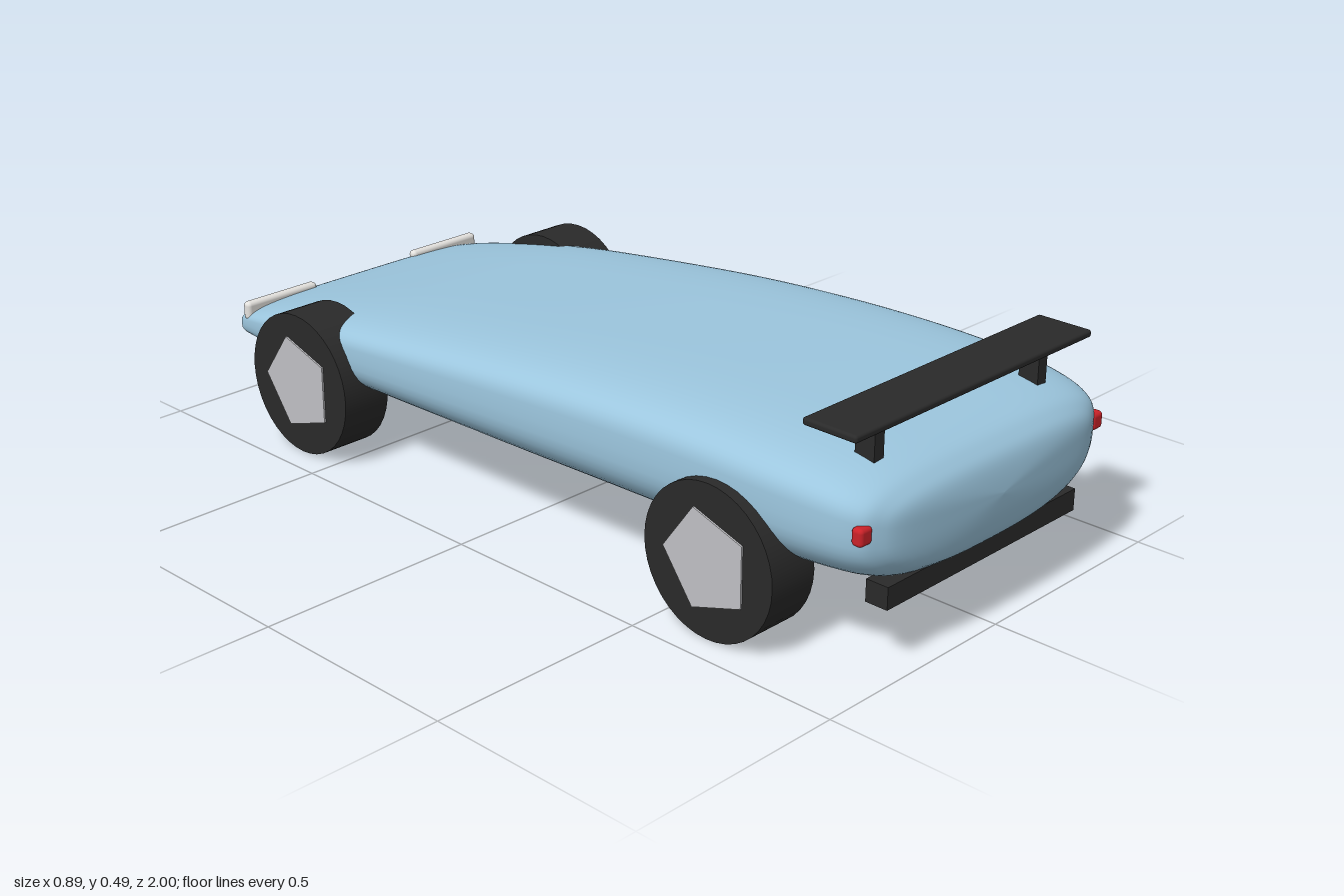
import * as THREE from 'three';
import { RoundedBoxGeometry } from 'three/addons/geometries/RoundedBoxGeometry.js';

const material = (name, color) => {
  const m = new THREE.MeshStandardMaterial({ color });
  m.name = name;
  return m;
};

// Body stations along the car: [z, half width, top, bottom], nose first
const STATIONS = [
  [-1, 0, 0.18, 0.178], [-0.996, 0.19, 0.198, 0.163], [-0.98, 0.3, 0.213, 0.15],
  [-0.95, 0.343, 0.23, 0.142], [-0.9, 0.36, 0.25, 0.137], [-0.8, 0.377, 0.277, 0.132],
  [-0.6, 0.397, 0.32, 0.128], [-0.4, 0.41, 0.352, 0.128], [0, 0.42, 0.4, 0.13],
  [0.3, 0.42, 0.423, 0.133], [0.55, 0.417, 0.43, 0.136], [0.75, 0.412, 0.424, 0.14],
  [0.86, 0.4, 0.413, 0.145], [0.93, 0.38, 0.396, 0.155], [0.965, 0.345, 0.375, 0.172],
  [0.988, 0.26, 0.345, 0.2], [1, 0, 0.285, 0.282],
];

// Loft of superelliptic rings, squarer above the waist and rounder below it
function bodyGeometry() {
  const shape = new THREE.CatmullRomCurve3(
    STATIONS.map(([, w, t, b]) => new THREE.Vector3(w, t, b)), false, 'catmullrom', 0.5);
  const along = new THREE.SplineCurve(STATIONS.map(([z]) => new THREE.Vector2(z, 0)));
  const rings = 96, sides = 72, positions = [], index = [];
  for (let i = 0; i <= rings; i++) {
    const s = shape.getPoint(i / rings);
    const z = along.getPoint(i / rings).x;
    const waist = s.z + (s.y - s.z) * 0.6;
    for (let j = 0; j < sides; j++) {
      const a = (j / sides) * Math.PI * 2;
      const c = Math.cos(a), v = Math.sin(a);
      const p = v >= 0 ? 2 / 4 : 2 / 2.6;
      const x = Math.sign(c) * Math.abs(c) ** p * s.x;
      const h = Math.abs(v) ** p;
      positions.push(x, v >= 0 ? waist + h * (s.y - waist) : waist - h * (waist - s.z), z);
    }
  }
  for (let i = 0; i < rings; i++) {
    for (let j = 0; j < sides; j++) {
      const k = (j + 1) % sides;
      const a = i * sides + j, b = i * sides + k;
      index.push(a, b, a + sides, b, b + sides, a + sides);
    }
  }
  const g = new THREE.BufferGeometry();
  g.setAttribute('position', new THREE.Float32BufferAttribute(positions, 3));
  g.setIndex(index);
  g.computeVertexNormals();
  return g;
}

export function createModel() {
  const paint = material('bluePaint', 0x9cc6de);
  const black = material('blackRubber', 0x2a2a2a);
  const silver = material('silverHub', 0xc0c0c4);
  const red = material('redLens', 0xcc2229);
  const white = material('whiteLens', 0xe4e2de);

  const car = new THREE.Group();
  car.name = 'car';
  const add = (name, geometry, mat, x, y, z) => {
    const mesh = new THREE.Mesh(geometry, mat);
    mesh.name = name;
    mesh.position.set(x, y, z);
    car.add(mesh);
    return mesh;
  };

  add('body', bodyGeometry(), paint, 0, 0, 0);

  // Wheels with five-sided hubs pointing to the nose
  const tyre = new THREE.CylinderGeometry(0.165, 0.165, 0.12, 40).rotateZ(Math.PI / 2);
  const hub = new THREE.CylinderGeometry(0.112, 0.112, 0.128, 5, 1, false, Math.PI)
    .toNonIndexed().rotateZ(Math.PI / 2);
  hub.computeVertexNormals();
  for (const [end, z] of [['front', -0.61], ['rear', 0.638]]) {
    for (const side of [-1, 1]) {
      const name = end + (side > 0 ? 'Left' : 'Right');
      add(name + 'Tyre', tyre, black, side * 0.379, 0.166, z);
      add(name + 'Hub', hub, silver, side * 0.379, 0.166, z);
    }
  }

  // Rear wing and lower bumper
  add('wing', new RoundedBoxGeometry(0.738, 0.016, 0.128, 3, 0.006), black, 0, 0.487, 0.866);
  add('rearBumper', new THREE.BoxGeometry(0.6, 0.048, 0.052), black, 0, 0.156, 0.938);

  // Mirrored wing struts and lights
  for (const side of [-1, 1]) {
    add('wingStrut', new THREE.BoxGeometry(0.028, 0.085, 0.046), black, side * 0.256, 0.442, 0.872);
    add('tailLight', new RoundedBoxGeometry(0.036, 0.038, 0.026, 3, 0.009), red,
      side * 0.367, 0.306, 0.95);
    add('headlight', new RoundedBoxGeometry(0.205, 0.045, 0.024, 3, 0.01), white,
      side * 0.254, 0.238, -0.912);
  }
  return car;
}
